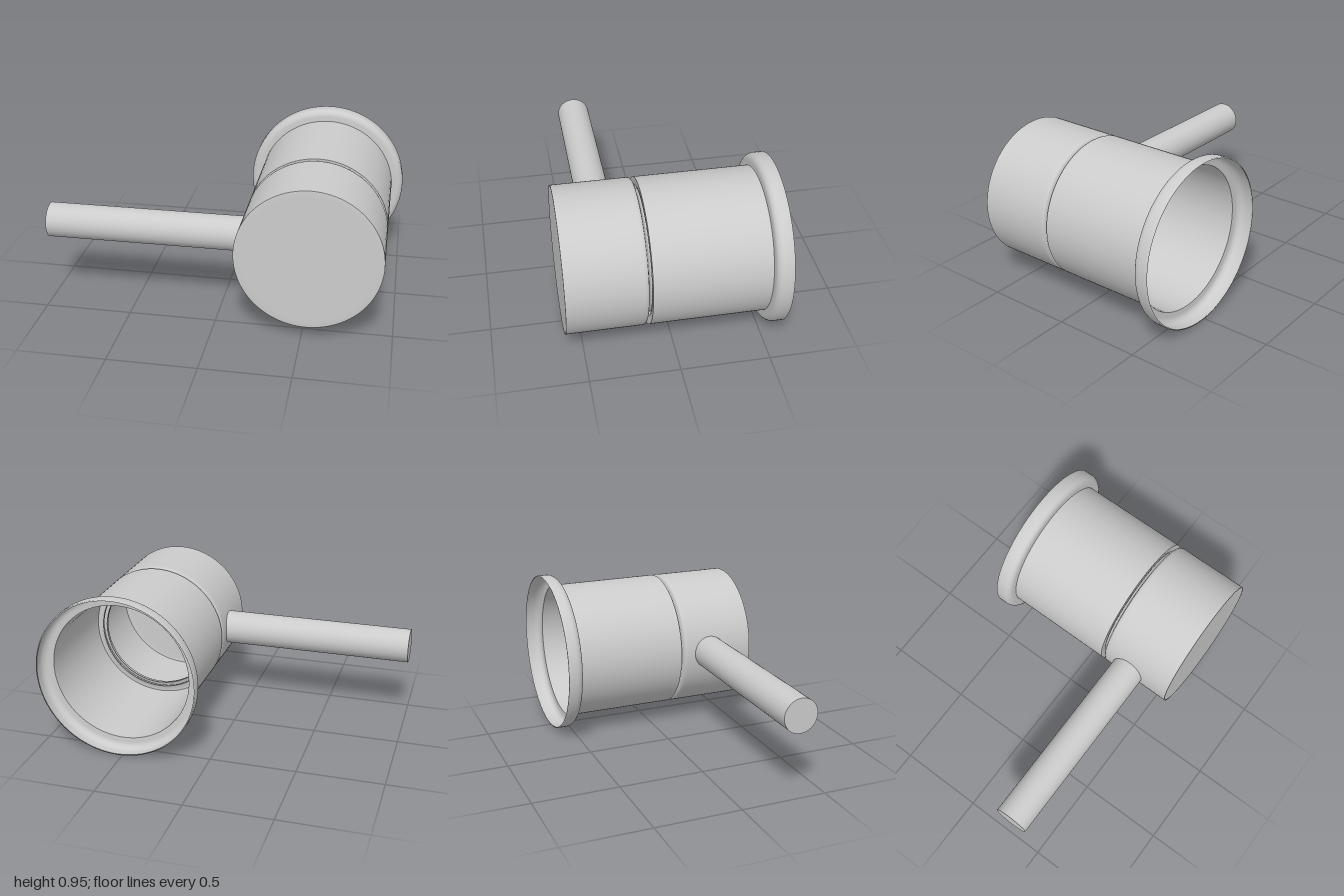
import * as THREE from 'three';

const material = new THREE.MeshStandardMaterial({ color: 0xcccccc, side: THREE.DoubleSide });

// Shell turned about the z axis from [radius, z] pairs, listed from back to front
function turned(name, profile) {
  const points = profile.map(([r, z]) => new THREE.Vector2(r, z));
  const geometry = new THREE.LatheGeometry(points, 96).rotateX(Math.PI / 2);
  const mesh = new THREE.Mesh(geometry, material);
  mesh.name = name;
  return mesh;
}

export function createModel() {
  const model = new THREE.Group();
  model.name = 'leverValve';

  const body = new THREE.Group();
  body.name = 'body';
  body.position.set(0.525, 0.476, 0);
  model.add(body);

  // Hollow wall flange with a rounded front shoulder
  const flange = [[0.468, -0.6], [0.475, -0.598], [0.475, -0.57]];
  for (let i = 0; i <= 8; i++) {
    const a = (i / 8) * Math.PI / 2;
    flange.push([0.435 + 0.04 * Math.cos(a), -0.55 + 0.043 * Math.sin(a)]);
  }
  flange.push([0.408, -0.505]);
  body.add(turned('flange', flange));

  // Open sleeve and the narrow lip at its front end
  body.add(turned('sleeve', [[0.408, -0.506], [0.408, 0.14]]));
  body.add(turned('sleeveLip', [[0.365, 0.12], [0.365, 0.14], [0.408, 0.14]].reverse()));

  // Rotating cap: curled-in back edge, straight wall, flat front
  body.add(turned('capWall', [
    [0.34, 0.12], [0.34, 0.14], [0.355, 0.15], [0.385, 0.157], [0.4, 0.161],
    [0.406, 0.168], [0.408, 0.18], [0.408, 0.2], [0.408, 0.6],
  ]));
  body.add(turned('capFace', [[0.408, 0.597], [0.402, 0.6], [0.37, 0.6], [0, 0.6]]));

  // Straight lever on the right side
  const lever = new THREE.Mesh(new THREE.CylinderGeometry(0.1, 0.1, 1.13, 48), material);
  lever.name = 'lever';
  lever.rotation.z = Math.PI / 2;
  lever.position.set(-0.435, 0.48, 0.33);
  model.add(lever);

  return model;
}
